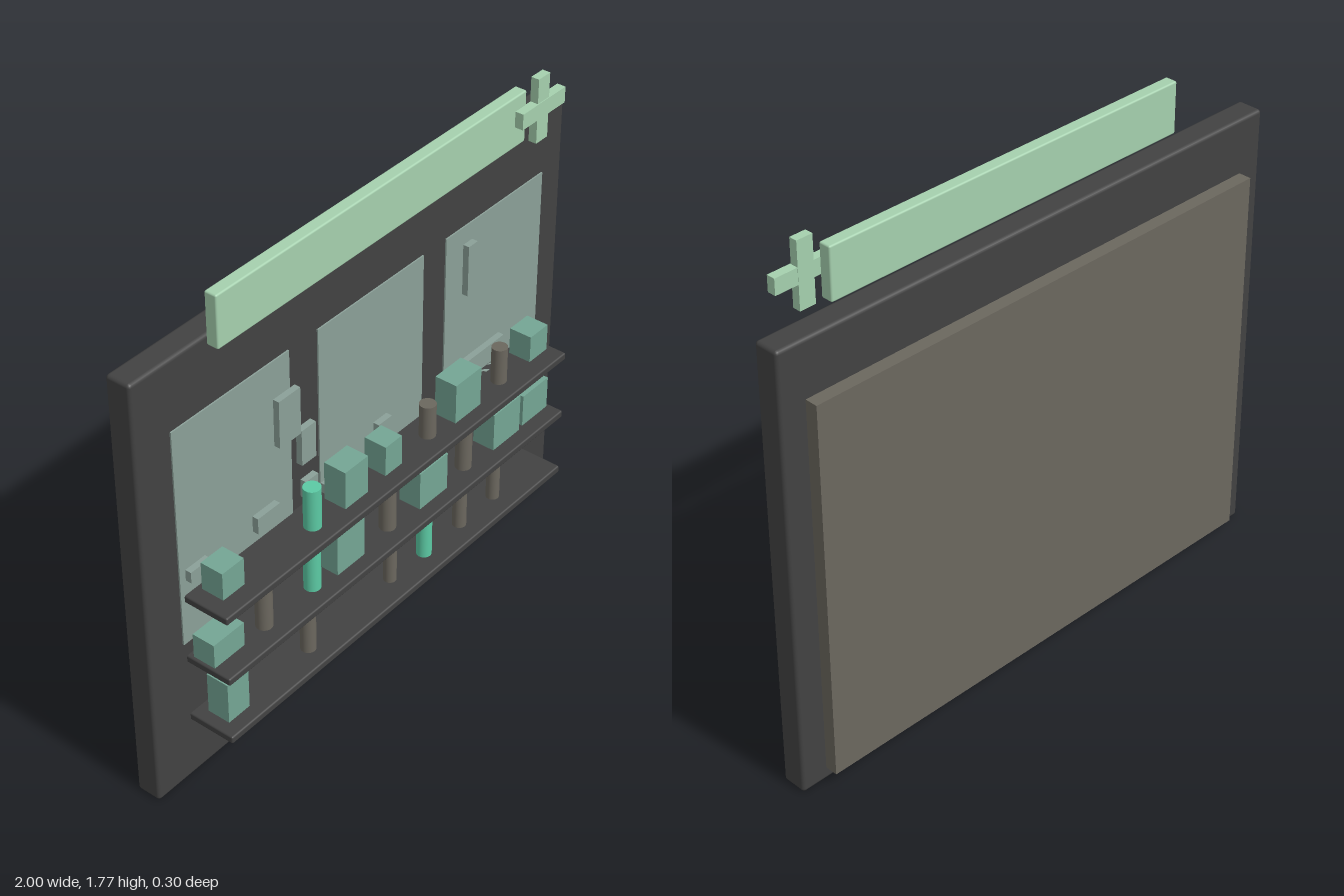
import * as THREE from 'three';
import { RoundedBoxGeometry } from 'three/addons/geometries/RoundedBoxGeometry.js';

const material = (name, color) => {
  const m = new THREE.MeshStandardMaterial({ color });
  m.name = name;
  return m;
};

export function createModel() {
  const charcoal = material('charcoal', 0x424242);
  const taupe = material('taupe', 0x6b675e);
  const glass = material('pale glass', 0x8ba098);
  const mint = material('mint', 0xa5d0ae);
  const sage = material('sage', 0x74a594);
  const teal = material('teal', 0x5ccaa4);

  const model = new THREE.Group();
  model.name = 'shopDisplayWall';

  const add = (name, geometry, mat, x, y, z) => {
    const mesh = new THREE.Mesh(geometry, mat);
    mesh.name = name;
    mesh.position.set(x, y, z);
    model.add(mesh);
  };
  // Box from its limits, with optionally rounded edges
  const box = (name, mat, x0, x1, y0, y1, z0, z1, r = 0) => {
    const size = [x1 - x0, y1 - y0, z1 - z0];
    const geometry = r ? new RoundedBoxGeometry(...size, 2, r) : new THREE.BoxGeometry(...size);
    add(name, geometry, mat, (x0 + x1) / 2, (y0 + y1) / 2, (z0 + z1) / 2);
  };

  // Wall and its backing
  box('wall', charcoal, -1, 1, 0, 1.577, -0.108, -0.018, 0.012);
  box('backPanel', taupe, -0.907, 0.907, 0.045, 1.385, -0.153, -0.1);

  // Window panes
  for (const x of [-0.607, 0.025, 0.64]) {
    box('windowPane', glass, x - 0.251, x + 0.251, 0.546, 1.338, -0.02, -0.013);
  }

  // Notices and price cards: x0, x1, y0, y1
  const cards = [
    [-0.433, -0.337, 1.035, 1.205], [-0.335, -0.27, 0.91, 1.04],
    [0.475, 0.52, 1.09, 1.275], [-0.54, -0.44, 0.777, 0.835],
    [-0.835, -0.75, 0.785, 0.825], [-0.32, -0.262, 0.772, 0.838],
    [0.03, 0.095, 0.775, 0.845], [0.44, 0.68, 0.775, 0.83],
    [-0.225, -0.088, 0.62, 0.765], [0.51, 0.68, 0.53, 0.73],
  ];
  for (const c of cards) box('noticeCard', glass, ...c, -0.012, 0.01);

  // Shelves
  for (const top of [0.73, 0.491, 0.254]) {
    box('shelf', charcoal, -0.843, 0.841, top - 0.027, top, -0.03, 0.151, 0.006);
  }

  // Cartons: x0, x1, y0, y1
  const cartons = [
    [-0.8, -0.706, 0.745, 0.845], [-0.243, -0.134, 0.73, 0.87],
    [-0.048, 0.032, 0.738, 0.848], [0.307, 0.438, 0.73, 0.877],
    [0.706, 0.8, 0.745, 0.843],
    [-0.85, -0.717, 0.513, 0.602], [-0.283, -0.152, 0.491, 0.64],
    [0.128, 0.27, 0.491, 0.633], [0.52, 0.663, 0.491, 0.633],
    [0.68, 0.818, 0.498, 0.618],
    [-0.8, -0.706, 0.254, 0.405],
  ];
  for (const c of cartons) box('carton', sage, ...c, 0.017, 0.1);

  // Bottles: x, radius, y0, y1, material
  const bottles = [
    [-0.364, 0.029, 0.73, 0.88, teal], [0.199, 0.028, 0.738, 0.86, taupe],
    [0.575, 0.027, 0.734, 0.868, taupe],
    [-0.595, 0.028, 0.491, 0.64, taupe], [-0.37, 0.028, 0.491, 0.65, teal],
    [-0.001, 0.028, 0.491, 0.637, taupe], [0.394, 0.028, 0.491, 0.643, taupe],
    [-0.395, 0.026, 0.254, 0.41, taupe], [0.013, 0.022, 0.262, 0.388, taupe],
    [0.191, 0.026, 0.254, 0.398, teal], [0.381, 0.024, 0.254, 0.405, taupe],
    [0.565, 0.023, 0.257, 0.396, taupe],
  ];
  for (const [x, r, y0, y1, mat] of bottles) {
    add('bottle', new THREE.CylinderGeometry(r, r, y1 - y0, 24), mat, x, (y0 + y1) / 2, 0.071);
  }

  // Sign board and cross above the wall
  box('signBoard', mint, -0.71, 0.708, 1.56, 1.74, -0.003, 0.041, 0.006);
  box('crossUpright', mint, 0.73, 0.788, 1.55, 1.775, 0.039, 0.068);
  box('crossBar', mint, 0.651, 0.871, 1.635, 1.69, 0.04, 0.071);

  return model;
}
